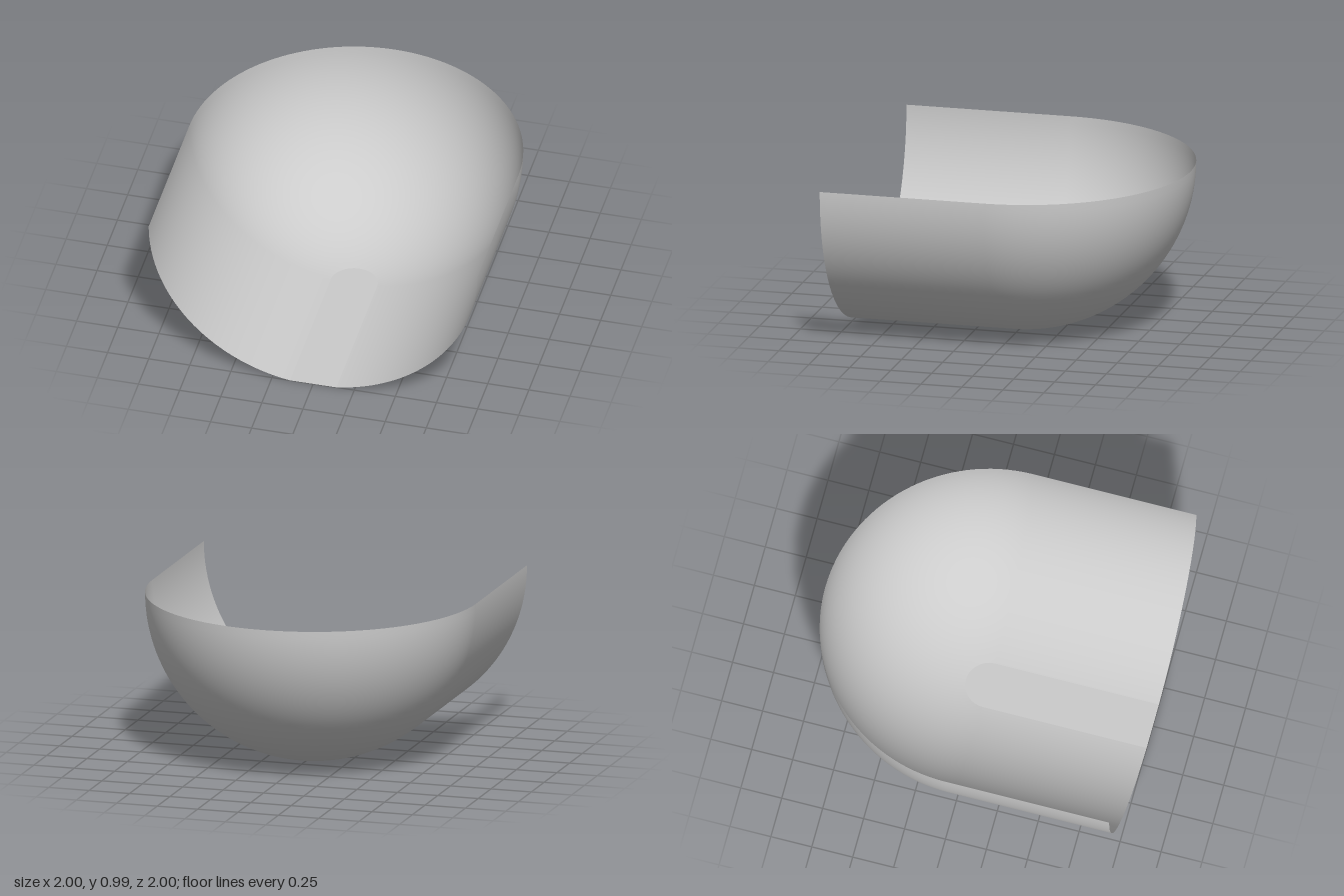
import * as THREE from 'three';

const DEPTH = 0.99;                        // rim height; the unit-radius bowl is cut flat at y = 0
const CUT = Math.acos(DEPTH);              // angle from straight down to the edge of the flat floor
const FLOOR_R = Math.sin(CUT);

export function createModel() {
  const group = new THREE.Group();
  const material = new THREE.MeshStandardMaterial({ color: 0xcccccc, side: THREE.DoubleSide });
  const add = (name, geometry) => {
    const mesh = new THREE.Mesh(geometry, material);
    mesh.name = name;
    group.add(mesh);
  };

  // Rounded back: half-turn lathe of a quarter-circle profile
  const profile = [];
  for (let i = 0; i <= 32; i++) {
    const a = CUT + (Math.PI / 2 - CUT) * i / 32;
    profile.push(new THREE.Vector2(Math.sin(a), DEPTH - Math.cos(a)));
  }
  add('roundedBack', new THREE.LatheGeometry(profile, 64, Math.PI / 2, Math.PI));

  // Straight curved walls running forward from the rounded back
  for (const [name, start] of [['leftWall', CUT], ['rightWall', -Math.PI / 2]]) {
    const wall = new THREE.CylinderGeometry(1, 1, 1, 32, 1, true, start, Math.PI / 2 - CUT);
    wall.rotateX(Math.PI / 2).translate(0, DEPTH, 0.5);
    add(name, wall);
  }

  // Narrow flat floor with a round back end
  const shape = new THREE.Shape();
  shape.moveTo(-FLOOR_R, -1);
  shape.lineTo(FLOOR_R, -1);
  shape.lineTo(FLOOR_R, 0);
  shape.absarc(0, 0, FLOOR_R, 0, Math.PI, false);
  shape.closePath();
  add('floor', new THREE.ShapeGeometry(shape, 64).rotateX(-Math.PI / 2));

  return group;
}
